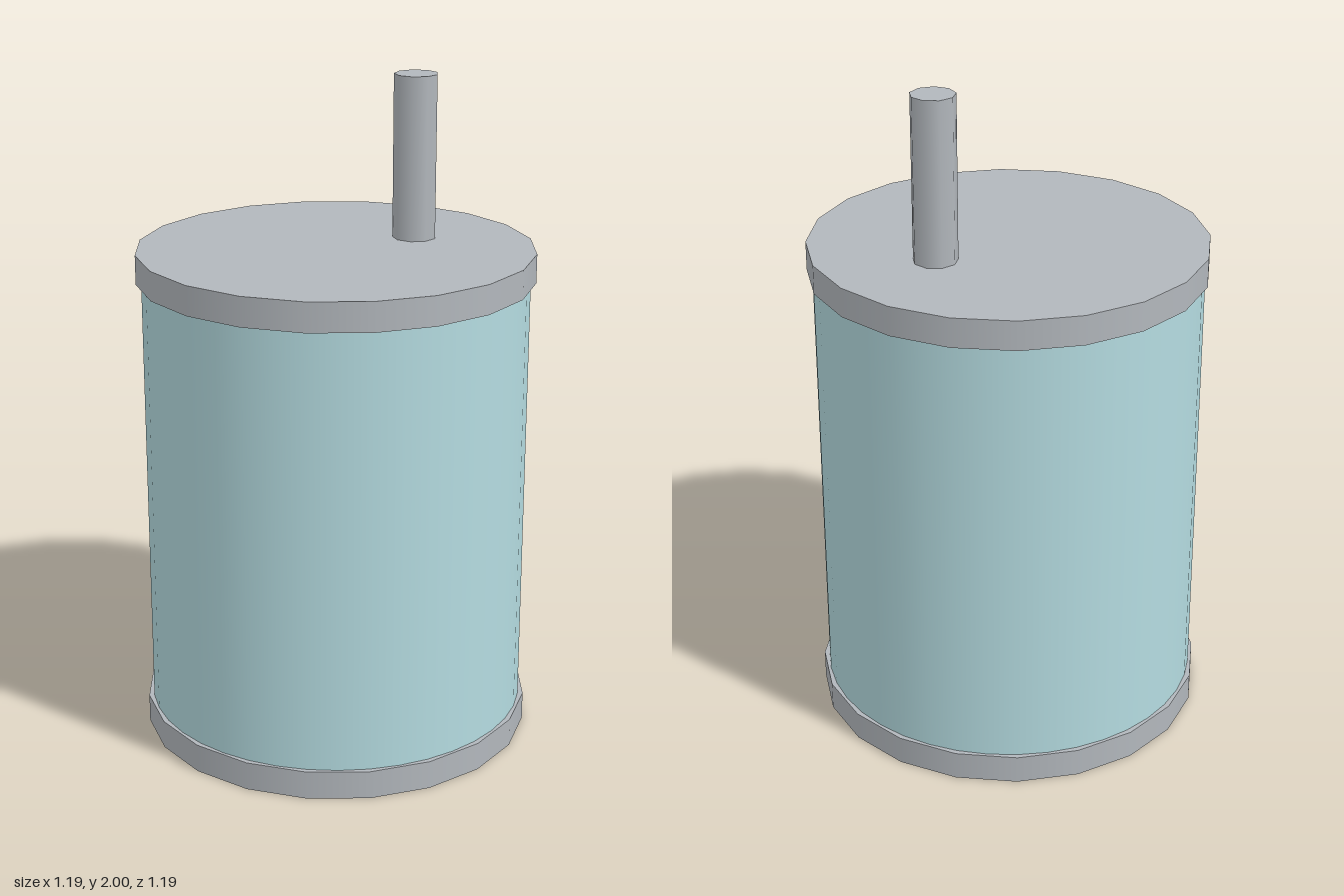
import * as THREE from 'three';

export function createModel() {
  const model = new THREE.Group();
  model.name = 'canister';

  const metal = new THREE.MeshStandardMaterial({ color: 0xb2b7bc });
  metal.name = 'grey metal';
  const glass = new THREE.MeshStandardMaterial({ color: 0xb4dbe0 });
  glass.name = 'pale blue';

  // Upright cylinder spanning y0..y1
  function addCylinder(name, radius, y0, y1, sides, material, x = 0) {
    const geometry = new THREE.CylinderGeometry(radius, radius, y1 - y0, sides);
    const mesh = new THREE.Mesh(geometry, material);
    mesh.name = name;
    mesh.position.set(x, (y0 + y1) / 2, 0);
    model.add(mesh);
  }

  // Flat end caps with the smoother body between them
  addCylinder('bottomCap', 0.593, 0, 0.087, 20, metal);
  addCylinder('body', 0.577, 0.087, 1.42, 40, glass);
  addCylinder('topCap', 0.593, 1.42, 1.508, 20, metal);

  // Off-centre pipe on the lid
  addCylinder('pipe', 0.066, 1.508, 2, 9, metal, 0.267);

  return model;
}
